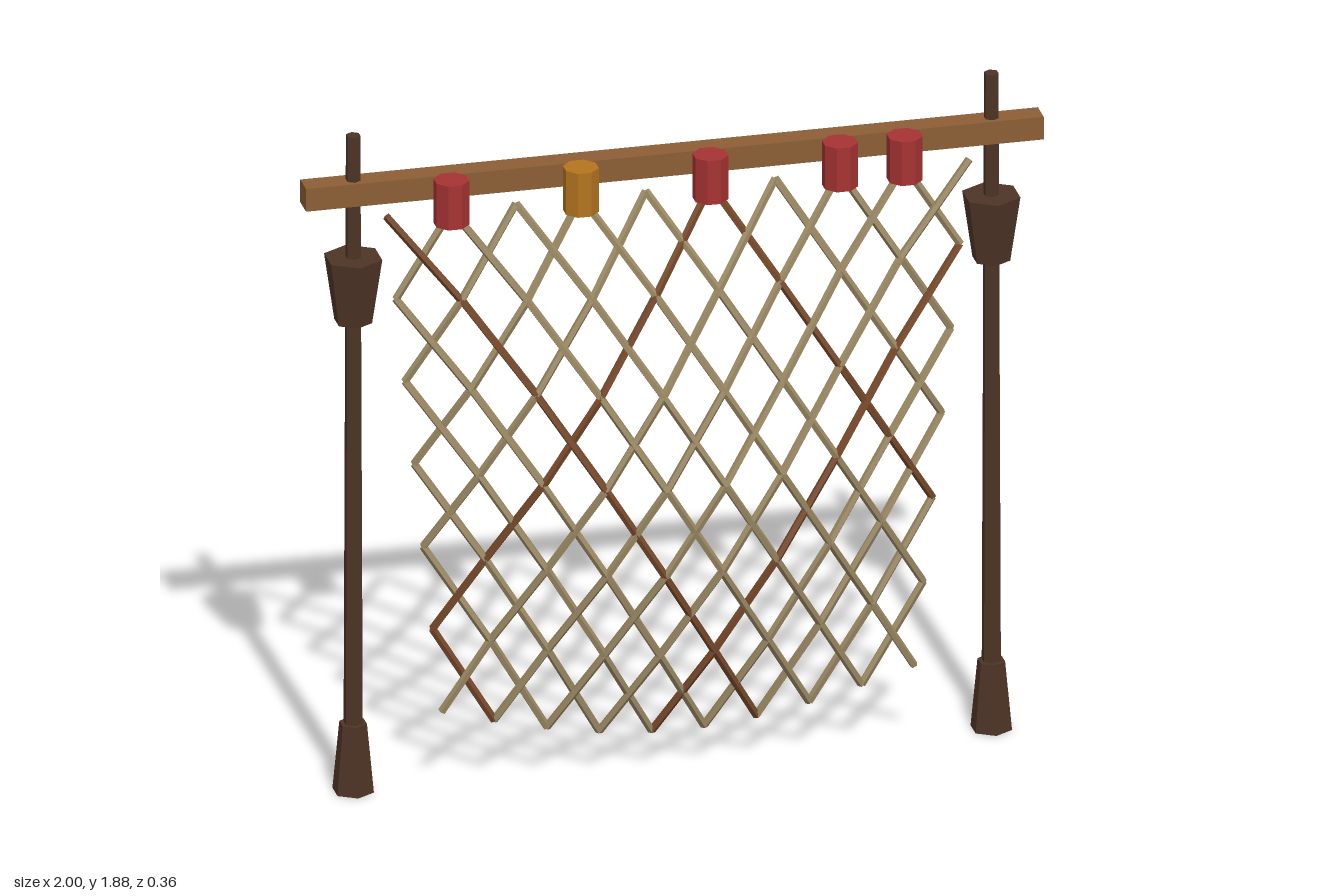
import * as THREE from 'three';

const flat = (color, name) => {
  const m = new THREE.MeshStandardMaterial({ color, flatShading: true });
  m.name = name;
  return m;
};

export function createModel() {
  const model = new THREE.Group();
  model.name = 'hangingNet';
  const darkWood = flat(0x4e3426, 'darkWood');
  const beamWood = flat(0x8b5e36, 'beamWood');
  const rope = flat(0x9c8a64, 'rope');
  const oldRope = flat(0x78492a, 'oldRope');
  const redCloth = flat(0xa63232, 'redCloth');
  const ochreCloth = flat(0xb4741f, 'ochreCloth');

  const add = (parent, name, geometry, material, x = 0, y = 0, z = 0) => {
    const mesh = new THREE.Mesh(geometry, material);
    mesh.name = name;
    mesh.position.set(x, y, z);
    parent.add(mesh);
    return mesh;
  };

  // Posts: tapered pole, flared foot and collar
  for (const side of [1, -1]) {
    const post = new THREE.Group();
    post.name = side > 0 ? 'leftPost' : 'rightPost';
    post.position.set(side * 0.865, 0, -0.1);
    add(post, 'pole', new THREE.CylinderGeometry(0.02, 0.027, 1.885, 6), darkWood, 0, 0.9425);
    add(post, 'foot', new THREE.CylinderGeometry(0.038, 0.057, 0.195, 6), darkWood, 0, 0.0975);
    add(post, 'collar', new THREE.CylinderGeometry(0.08, 0.052, 0.185, 6), darkWood, 0, 1.4425);
    model.add(post);
  }

  // Crossbeam
  add(model, 'crossbeam', new THREE.BoxGeometry(2, 0.065, 0.065), beamWood, 0, 1.7235, -0.1025);

  // Net surface: narrows and sags downward, bulges forward in the middle
  const rows = 6, cols = 9;
  const node = (r, c) => {
    const u = c / cols, v = r / rows, arch = Math.sin(Math.PI * u);
    return new THREE.Vector3(
      (2 * u - 1) * (0.79 - 0.15 * v),
      1.67 - 1.44 * v - 0.115 * v * arch,
      -0.037 + 0.21 * arch * Math.sin(Math.PI * v)
    );
  };

  // Net strands: two crossing diagonals per cell, every fifth diagonal darker
  const net = new THREE.Group();
  net.name = 'net';
  model.add(net);
  const up = new THREE.Vector3(0, 1, 0);
  const strand = (a, b, material) => {
    const dir = b.clone().sub(a);
    const mesh = add(net, 'strand', new THREE.CylinderGeometry(0.011, 0.011, dir.length(), 5), material);
    mesh.position.copy(a).add(b).multiplyScalar(0.5);
    mesh.quaternion.setFromUnitVectors(up, dir.normalize());
  };
  for (let r = 0; r < rows; r++) {
    for (let c = 0; c < cols; c++) {
      strand(node(r, c), node(r + 1, c + 1), (c - r) % 5 === 0 ? oldRope : rope);
      strand(node(r, c + 1), node(r + 1, c), (c + 1 + r) % 5 === 0 ? oldRope : rope);
    }
  }

  // Cloth ties holding the net to the beam
  for (const c of [1, 3, 5, 7, 8]) {
    const tie = add(model, 'tie', new THREE.CylinderGeometry(0.048, 0.048, 0.126, 8),
      c === 3 ? ochreCloth : redCloth, node(0, c).x, 1.695, -0.036);
    tie.rotation.y = Math.PI / 8;
  }
  return model;
}
